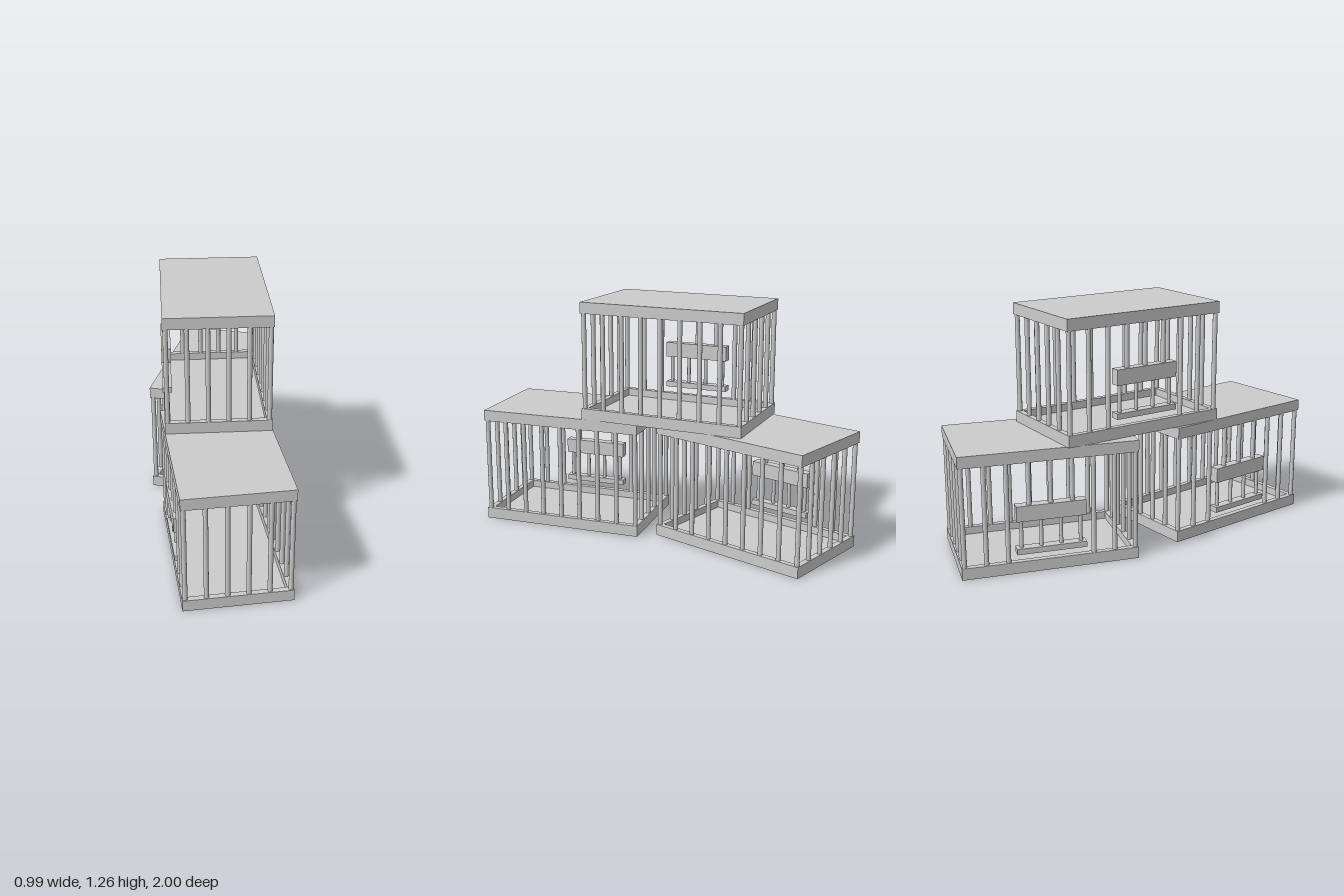
import * as THREE from 'three';

const W = 0.55, D = 0.9, H = 0.63;   // outer size of one cage
const RIM = 0.06, LIP = 0.03, PANEL = 0.02;
const BAR_R = 0.0125;

const material = new THREE.MeshStandardMaterial({ color: 0xcccccc });

function addBox(parent, name, w, h, d, x, y, z) {
  const mesh = new THREE.Mesh(new THREE.BoxGeometry(w, h, d), material);
  mesh.name = name;
  mesh.position.set(x, y, z);
  parent.add(mesh);
}

// Upright round bar between two heights
function addBar(parent, name, r, x, z, y0, y1) {
  const mesh = new THREE.Mesh(new THREE.CylinderGeometry(r, r, y1 - y0, 16, 1), material);
  mesh.name = name;
  mesh.position.set(x, (y0 + y1) / 2, z);
  parent.add(mesh);
}

// Shallow tray: a flat panel with a raised lip; flipped over it is the roof
function createTray(name) {
  const tray = new THREE.Group();
  tray.name = name;
  addBox(tray, name + 'Panel', W - 2 * LIP, PANEL, D - 2 * LIP, 0, PANEL / 2, 0);
  for (const s of [-1, 1]) {
    addBox(tray, name + 'SideLip', LIP, RIM, D, s * (W - LIP) / 2, RIM / 2, 0);
    addBox(tray, name + 'EndLip', W - 2 * LIP, RIM, LIP, 0, RIM / 2, s * (D - LIP) / 2);
  }
  return tray;
}

// Feeder: a deep upper board and a thin lower rail joined by short bars
function createFeeder() {
  const feeder = new THREE.Group();
  feeder.name = 'feeder';
  addBox(feeder, 'feederBoard', 0.05, 0.08, 0.353, 0, 0.312, 0);
  addBox(feeder, 'feederRail', 0.05, 0.03, 0.353, 0, 0.115, 0);
  for (let i = 0; i < 4; i++) {
    addBar(feeder, 'feederBar', 0.01, 0, -0.15 + i * 0.1, 0.12, 0.29);
  }
  feeder.position.x = -0.256;
  return feeder;
}

function createCage(name) {
  const cage = new THREE.Group();
  cage.name = name;
  cage.add(createTray('floor'));
  const roof = createTray('roof');
  roof.rotation.z = Math.PI;
  roof.position.y = H;
  cage.add(roof);

  const y0 = RIM - 0.01, y1 = H - RIM + 0.01;
  const bx = (W - LIP) / 2, bz = (D - LIP) / 2;
  // Long sides: nine bars, the middle three stop at the feeder board
  for (let i = 0; i < 9; i++) {
    const z = -bz + (i * 2 * bz) / 8;
    const overFeeder = i >= 3 && i <= 5;
    addBar(cage, 'sideBar', BAR_R, bx, z, y0, y1);
    addBar(cage, 'sideBar', BAR_R, -bx, z, overFeeder ? 0.33 : y0, y1);
  }
  // Ends: four bars between the corner bars
  for (let i = 1; i < 5; i++) {
    const x = -bx + (i * 2 * bx) / 5;
    for (const s of [-1, 1]) addBar(cage, 'endBar', BAR_R, x, s * bz, y0, y1);
  }
  cage.add(createFeeder());
  return cage;
}

export function createModel() {
  const model = new THREE.Group();
  model.name = 'stackedCages';
  // name, x, y, z, turn in degrees
  const layout = [
    ['backCage', -0.197, 0, -0.549, 0],
    ['frontCage', 0.076, 0, 0.478, 21],
    ['topCage', -0.107, H, -0.104, 16],
  ];
  for (const [name, x, y, z, turn] of layout) {
    const cage = createCage(name);
    cage.position.set(x, y, z);
    cage.rotation.y = THREE.MathUtils.degToRad(turn);
    model.add(cage);
  }
  return model;
}
